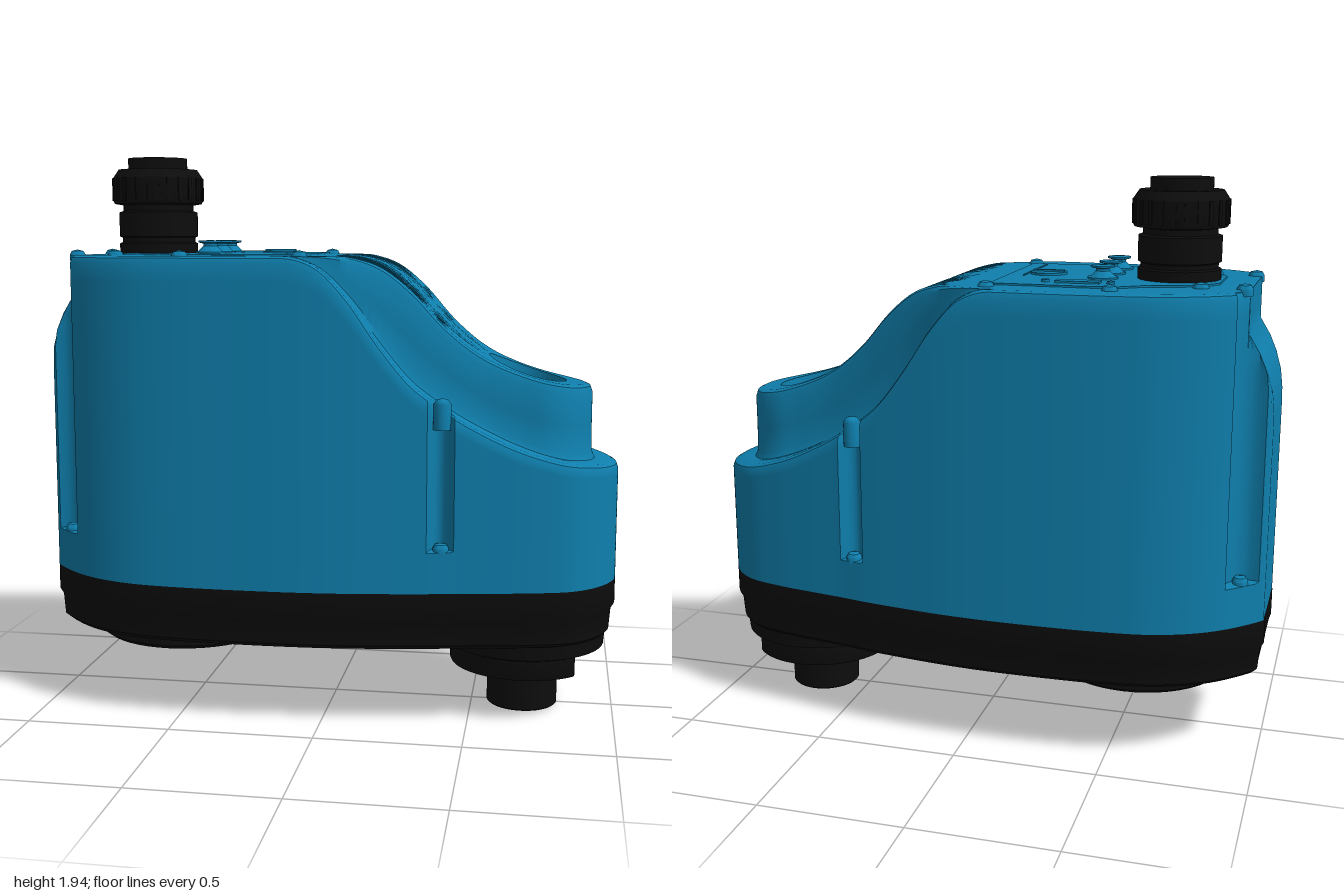
import * as THREE from 'three';
import { toCreasedNormals } from 'three/addons/utils/BufferGeometryUtils.js';

const blue = new THREE.MeshStandardMaterial({ color: 0x0f7fad, side: THREE.DoubleSide });
const black = new THREE.MeshStandardMaterial({ color: 0x0d0d0d, side: THREE.DoubleSide });
const BORE_X = 0.68;

// Plan half-outlines [x, z], nose to back; both lists correspond point by point
const outerPts = [[1, 0], [0.985, 0.1], [0.93, 0.2], [0.85, 0.27], [0.73, 0.31], [0.58, 0.34], [0.455, 0.362],
  [0.365, 0.381], [0.2, 0.407], [0.05, 0.425], [-0.1, 0.434], [-0.3, 0.435], [-0.5, 0.427], [-0.65, 0.407],
  [-0.78, 0.36], [-0.88, 0.295], [-0.98, 0.195], [-1, 0.165], [-1, 0.08]];
const innerPts = [[0.905, 0], [0.885, 0.095], [0.83, 0.165], [0.76, 0.2], [0.66, 0.212], [0.55, 0.225], [0.45, 0.245],
  [0.35, 0.268], [0.2, 0.31], [0.05, 0.37], ...outerPts.slice(10).map(([x, z]) => [x + 0.015, z - 0.025])];

// Height profiles along x
const upper = profile([[-1, 1.6], [0.02, 1.6], [0.1, 1.595], [0.2, 1.56], [0.3, 1.48], [0.4, 1.37], [0.5, 1.285],
  [0.6, 1.23], [0.75, 1.18], [0.905, 1.16], [1, 1.16]]);
const lower = profile([[-1, 1.6], [-0.12, 1.6], [0, 1.565], [0.1, 1.46], [0.2, 1.315], [0.3, 1.19], [0.4, 1.11],
  [0.5, 1.045], [0.65, 0.97], [0.8, 0.92], [0.92, 0.9], [1, 0.89]]);
const backLimit = profile([[0, -1], [1.15, -1], [1.22, -0.998], [1.3, -0.985], [1.4, -0.945], [1.46, -0.91], [2, -0.91]]);

// Smooth interpolation through sorted points
function profile(p) {
  const slope = p.map((_, i) => {
    const a = p[Math.max(0, i - 1)], b = p[Math.min(p.length - 1, i + 1)];
    const flat = i > 0 && i < p.length - 1 && (a[1] === p[i][1] || b[1] === p[i][1]);
    return flat ? 0 : (b[1] - a[1]) / (b[0] - a[0]);
  });
  return (x) => {
    x = THREE.MathUtils.clamp(x, p[0][0], p[p.length - 1][0]);
    let i = 0;
    while (i < p.length - 2 && x > p[i + 1][0]) i++;
    const h = p[i + 1][0] - p[i][0], t = (x - p[i][0]) / h, u = 1 - t;
    return u * u * (1 + 2 * t) * p[i][1] + t * t * (3 - 2 * t) * p[i + 1][1]
      + h * t * u * (u * slope[i] - t * slope[i + 1]);
  };
}

// Closed plan outline sampled with inward normals
function outline(half) {
  const pts = [...half, ...half.slice(1).reverse().map(([x, z]) => [x, -z])];
  const curve = new THREE.CatmullRomCurve3(pts.map(([x, z]) => new THREE.Vector3(x, 0, z)), true);
  const n = pts.length * 7;
  return Array.from({ length: n }, (_, i) => {
    const p = curve.getPoint(i / n), t = curve.getTangent(i / n);
    return { x: p.x, z: p.z, nx: -t.z, nz: t.x };
  });
}
const inset = (o, d) => o.map((p) => ({ ...p, x: p.x + p.nx * d, z: p.z + p.nz * d }));
const circle = (o, r) => o.map((p) => {
  const a = Math.atan2(p.z, p.x - BORE_X);
  return { x: BORE_X + r * Math.cos(a), z: r * Math.sin(a) };
});
const row = (o, y) => o.map((p, i) => [p.x, typeof y === 'function' ? y(p.x, i) : y, p.z]);

// Skin a stack of closed rows
function loft(rows) {
  const n = rows[0].length, index = [];
  for (let j = 0; j < rows.length - 1; j++) for (let i = 0; i < n; i++) {
    const a = j * n + i, b = j * n + (i + 1) % n;
    index.push(a, a + n, b, b, a + n, b + n);
  }
  const g = new THREE.BufferGeometry();
  g.setAttribute('position', new THREE.Float32BufferAttribute(rows.flat(2), 3));
  g.setIndex(index);
  return toCreasedNormals(g, 0.6);
}

// Vertical screw channels: two in the sides, two at the back corners
function groove(o) {
  return o.map((p) => {
    const bump = (c, w) => Math.sqrt(Math.max(0, 1 - ((p.x - c) / w) ** 2));
    const d = 0.05 * bump(0.41, 0.037) + (Math.abs(p.z) > 0.15 ? 0.05 * bump(-0.93, 0.048) : 0);
    return { ...p, x: p.x + p.nx * d, z: p.z + p.nz * d };
  });
}

function housingGeometry() {
  const outer = outline(outerPts), cut = groove(outer);
  const inner = outline(innerPts);
  const innerCut = inner.map((p, i) => (p.x < -0.5 ? groove([p])[0] : p));
  const rows = [row(outer, 0.48), row(outer, 0.62), row(cut, 0.625)];
  // side wall up to the shoulder
  for (let k = 1; k <= 16; k++) rows.push(row(cut, (x) => THREE.MathUtils.lerp(0.625, lower(x) - 0.025, k / 16)));
  rows.push(row(inset(cut, 0.007), (x) => lower(x) - 0.007), row(inset(cut, 0.022), lower));
  // raised centre body
  const rise = (f) => (x) => THREE.MathUtils.lerp(lower(x), upper(x), f);
  rows.push(row(inset(innerCut, -0.012), rise(0)), row(inset(innerCut, -0.002), rise(0.08)), row(innerCut, rise(0.45)),
    row(innerCut, rise(0.88)), row(inset(innerCut, 0.008), rise(0.97)));
  // top skin running in to the well, then down the bore
  const top = inset(innerCut, 0.026), rim = circle(top, 0.135);
  for (let k = 0; k <= 26; k++) {
    rows.push(row(top.map((p, i) => ({
      x: THREE.MathUtils.lerp(p.x, rim[i].x, k / 26), z: THREE.MathUtils.lerp(p.z, rim[i].z, k / 26),
    })), upper));
  }
  rows.push(row(circle(top, 0.125), 1.0), row(circle(top, 0.05), 1.0), row(circle(top, 0.05), 0.02));
  // sloped upper back
  for (const r of rows) for (const v of r) v[0] = Math.max(v[0], backLimit(v[1]));
  return loft(rows);
}

function baseGeometry() {
  const o = outline(outerPts);
  return loft([row(circle(o, 0.1), 0.28), row(inset(o, 0.035), 0.28), row(inset(o, 0.018), 0.295),
    row(inset(o, 0.012), 0.37), row(o, 0.39), row(o, 0.48), row(inset(o, 0.03), 0.482)]);
}

function lathe(points, seg = 48) {
  return new THREE.LatheGeometry(points.map(([r, y]) => new THREE.Vector2(r, y)), seg);
}

export function createModel() {
  const group = new THREE.Group();
  const add = (name, geo, mat, x = 0, y = 0, z = 0) => {
    const m = new THREE.Mesh(geo, mat);
    m.name = name;
    m.position.set(x, y, z);
    group.add(m);
    return m;
  };

  add('housing', housingGeometry(), blue);
  add('base', baseGeometry(), black);

  // Output spindle, flattened towards the nose
  const spindle = lathe([[0.055, 0.1], [0.055, 0], [0.12, 0], [0.125, 0.005], [0.125, 0.12], [0.15, 0.125], [0.255, 0.155],
    [0.26, 0.165], [0.26, 0.225], [0.285, 0.235], [0.29, 0.285]], 64);
  const pos = spindle.attributes.position;
  for (let i = 0; i < pos.count; i++) if (pos.getY(i) < 0.23) pos.setX(i, Math.min(pos.getX(i), 0.185));
  add('spindle', toCreasedNormals(spindle, 0.6), black, BORE_X);

  // Underside pads
  add('rearPad', toCreasedNormals(lathe([[0, 0.225], [0.31, 0.225], [0.33, 0.24], [0.33, 0.285]]), 0.6), black, -0.55);
  add('smallPad', new THREE.BoxGeometry(0.22, 0.03, 0.2), black, 0.22, 0.277);

  // Cable gland
  const gland = lathe([[0.14, 1.59], [0.14, 1.64], [0.13, 1.645], [0.13, 1.66], [0.14, 1.665], [0.14, 1.75], [0.125, 1.755],
    [0.125, 1.775], [0.155, 1.78], [0.16, 1.79], [0.16, 1.87], [0.14, 1.9], [0.105, 1.9], [0.105, 1.94], [0, 1.94]]);
  add('cableGland', toCreasedNormals(gland, 0.5), black, -0.65);
  for (let i = 0; i < 24; i++) {
    const a = (i / 24) * Math.PI * 2;
    add('glandRib', new THREE.BoxGeometry(0.012, 0.08, 0.014), black, -0.65 + 0.157 * Math.cos(a), 1.83, 0.157 * Math.sin(a))
      .rotation.y = -a;
  }

  // Control panel plate
  const half = [[-0.09, 0.3], [-0.42, 0.3], [-0.5, 0.285], [-0.58, 0.225], [-0.68, 0.2], [-0.76, 0.16], [-0.8, 0.1]];
  const plate = new THREE.Shape([[-0.07, 0.28], ...half, ...[...half].reverse().map(([x, z]) => [x, -z]), [-0.07, -0.28]]
    .map(([x, z]) => new THREE.Vector2(x, z)));
  add('controlPanel', new THREE.ExtrudeGeometry(plate, { depth: 0.01, bevelEnabled: false }).rotateX(-Math.PI / 2), blue, 0, 1.596);

  // Push buttons, dial and display
  const button = toCreasedNormals(lathe([[0.052, 0], [0.052, 0.008], [0.042, 0.01], [0.024, 0.028], [0.024, 0.036],
    [0.04, 0.04], [0.04, 0.046], [0, 0.048]], 32), 0.5);
  for (const z of [-0.08, 0.06, 0.21]) add('button', button, blue, -0.405, 1.604, z);
  add('dial', new THREE.CylinderGeometry(0.063, 0.063, 0.012, 32), blue, -0.2, 1.608);
  add('dialGrip', new THREE.BoxGeometry(0.11, 0.008, 0.014), blue, -0.2, 1.616);
  add('display', new THREE.BoxGeometry(0.15, 0.012, 0.05), blue, -0.35, 1.607, -0.215);
  for (const x of [-0.46, -0.24]) add('displayScrew', new THREE.CylinderGeometry(0.014, 0.014, 0.012, 16), blue, x, 1.608, -0.215);
  add('panelRib', new THREE.BoxGeometry(0.006, 0.006, 0.33), blue, -0.13, 1.607, 0.085);

  // Screws, mirrored left and right
  const head = toCreasedNormals(lathe([[0.027, -0.02], [0.027, 0.002], [0.02, 0.014], [0, 0.019]], 20), 0.6);
  for (const s of [-1, 1]) {
    for (const [x, z] of [[-0.48, 0.335], [-0.07, 0.335], [-0.75, 0.195]]) add('lidScrew', head, blue, x, 1.6, s * z);
    add('sideScrew', lathe([[0.03, 1.03], [0.03, 1.115], [0.02, 1.13], [0, 1.135]], 20), blue, 0.41, 0, s * 0.335);
    add('sideFootScrew', head, blue, 0.41, 0.63, s * 0.345);
    add('cornerScrew', head, blue, -0.89, 1.6, s * 0.19);
    add('cornerFootScrew', head, blue, -0.92, 0.63, s * 0.22);
  }
  return group;
}
